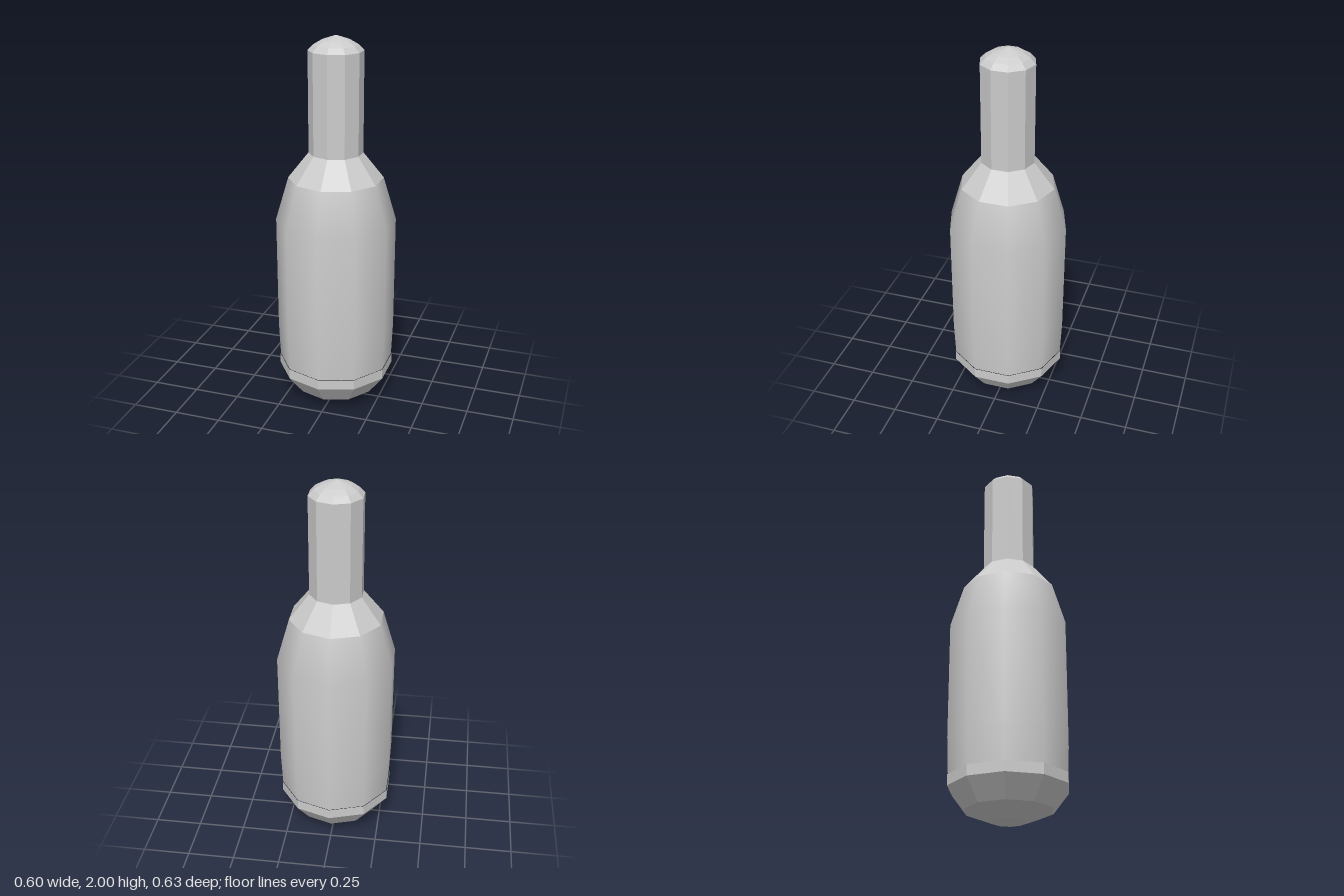
import * as THREE from 'three';

const SIDES = 10;

// Revolved ten-sided section; profile is [radius, height] from bottom to top
function section(name, profile, flatShading) {
  const points = profile.map(([r, y]) => new THREE.Vector2(r, y));
  const material = new THREE.MeshStandardMaterial({ color: 0xcccccc, flatShading });
  const mesh = new THREE.Mesh(new THREE.LatheGeometry(points, SIDES), material);
  mesh.name = name;
  return mesh;
}

export function createModel() {
  const group = new THREE.Group();
  group.name = 'bottle';
  group.add(
    // Faceted rounded base with a short upright rim
    section('base', [[0, 0], [0.085, 0.01], [0.226, 0.065], [0.31, 0.175], [0.31, 0.23]], true),
    // Smooth body, slightly narrowed at the foot and tapering at the top
    section('body', [[0.307, 0.23], [0.315, 0.42], [0.316, 1.035], [0.248, 1.265]], false),
    // Faceted shoulder
    section('shoulder', [[0.248, 1.265], [0.141, 1.4]], true),
    // Straight neck
    section('neck', [[0.141, 1.4], [0.141, 1.925]], true),
    // Bevelled edge of the cap
    section('capBevel', [[0.141, 1.925], [0.114, 1.953], [0.078, 1.974]], true),
    // Smooth crown of the cap
    section('capCrown', [[0.078, 1.974], [0, 2]], false)
  );
  return group;
}
